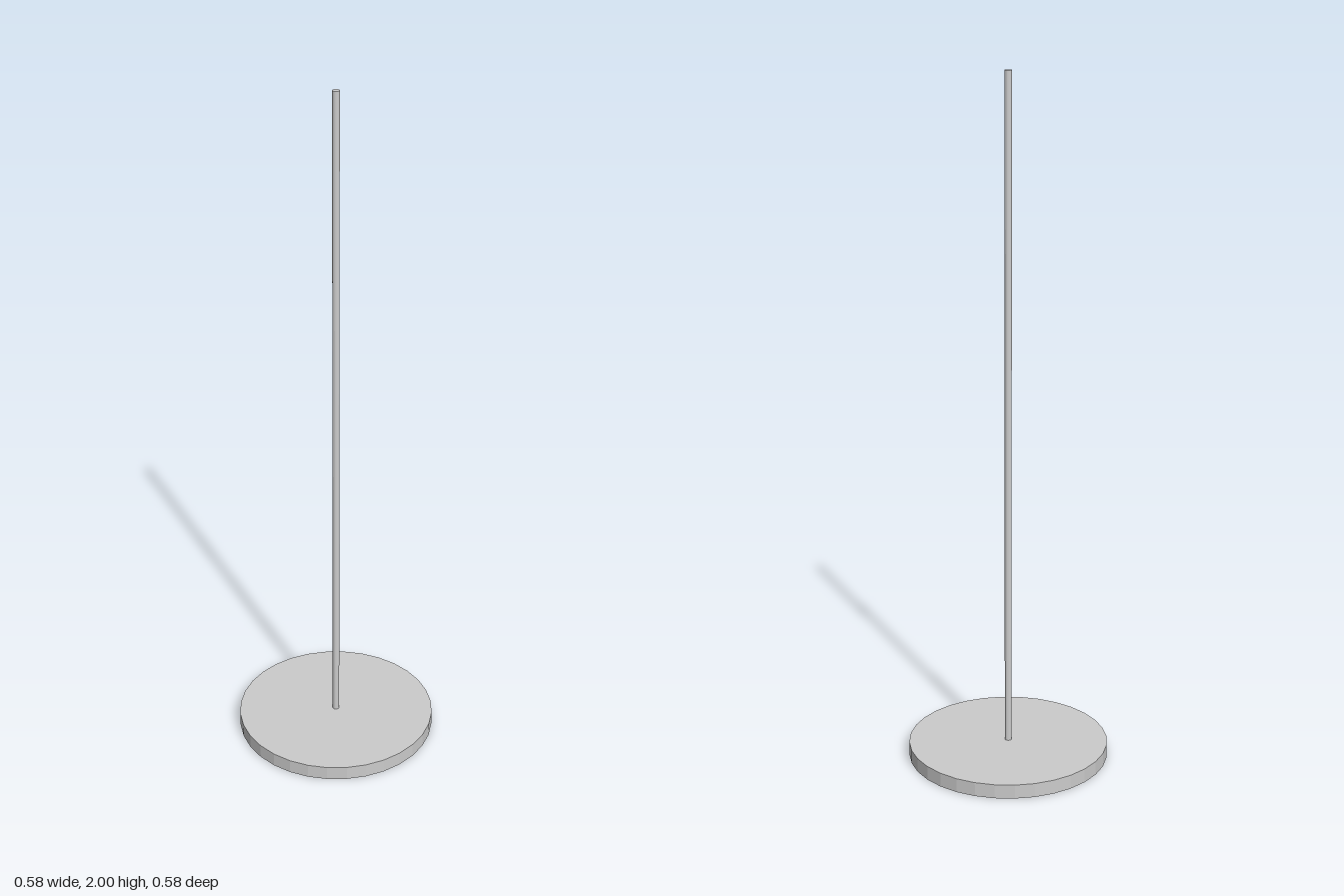
import * as THREE from 'three';

const BASE_HEIGHT = 0.042;
const TOTAL_HEIGHT = 2;

export function createModel() {
  const group = new THREE.Group();
  group.name = 'poleStand';
  const material = new THREE.MeshStandardMaterial({ color: 0xcccccc, flatShading: true });

  // Upright cylinder spanning bottom to top
  const addCylinder = (name, radius, bottom, top) => {
    const height = top - bottom;
    const mesh = new THREE.Mesh(new THREE.CylinderGeometry(radius, radius, height, 32), material);
    mesh.name = name;
    mesh.position.y = bottom + height / 2;
    group.add(mesh);
  };

  // Flat round foot
  addCylinder('base', 0.292, 0, BASE_HEIGHT);
  // Thin pole standing on the foot
  addCylinder('pole', 0.01, BASE_HEIGHT, TOTAL_HEIGHT);

  return group;
}
